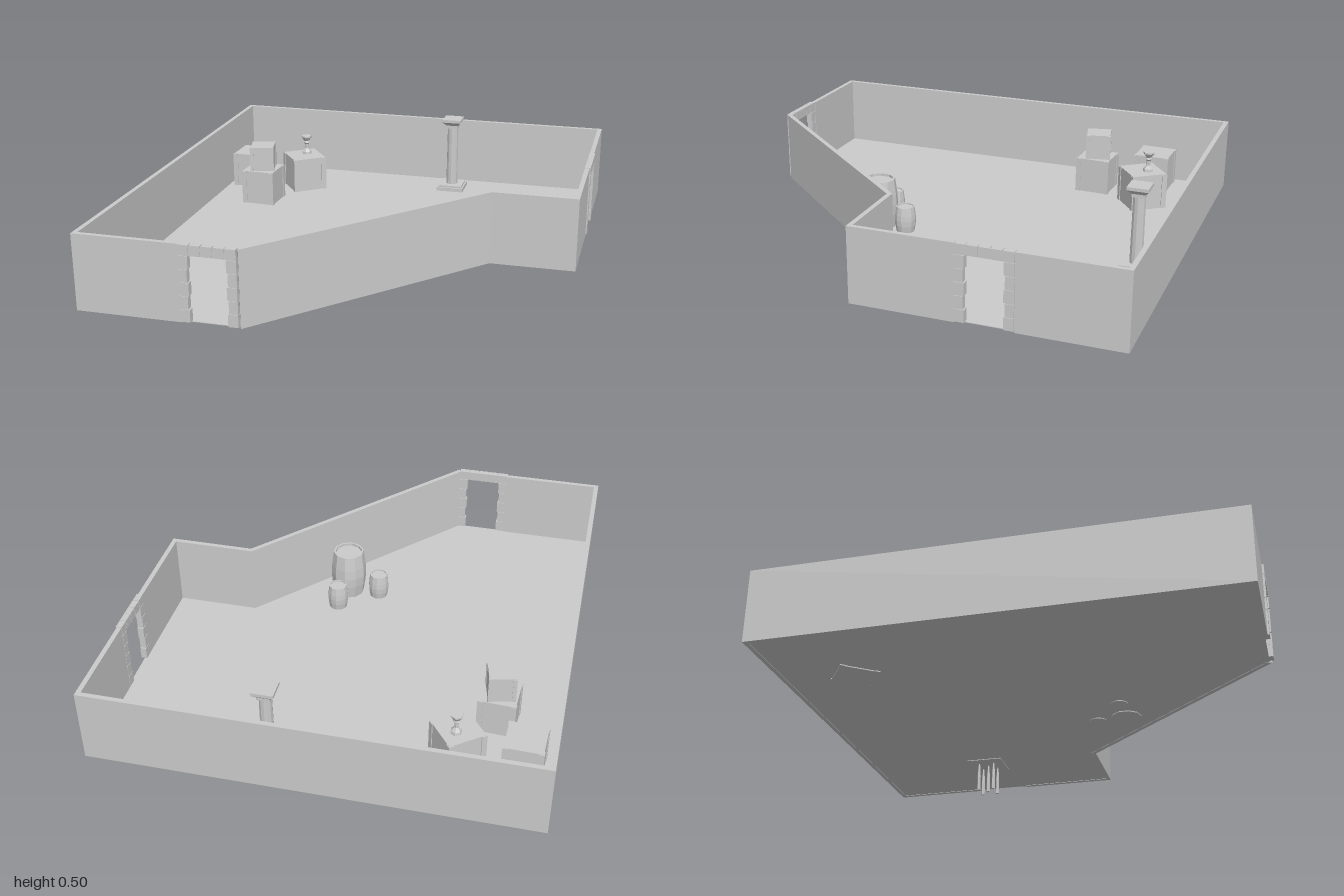
import * as THREE from 'three';

const FLOOR = 0.14, TOP = 0.455, THICK = 0.02;
const mat = new THREE.MeshStandardMaterial({ color: 0xcccccc, flatShading: true });

function add(parent, name, geo, x = 0, y = 0, z = 0, ry = 0) {
  const m = new THREE.Mesh(geo, mat);
  m.name = name;
  m.position.set(x, y, z);
  m.rotation.y = ry;
  parent.add(m);
  return m;
}

// Vertical prism over a plan outline given as [x, z] pairs
function prism(points, y0, y1) {
  const shape = new THREE.Shape(points.map(([x, z]) => new THREE.Vector2(x, -z)));
  const geo = new THREE.ExtrudeGeometry(shape, { depth: y1 - y0, bevelEnabled: false });
  return geo.rotateX(-Math.PI / 2).translate(0, y0, 0);
}

// Plan outline moved inwards by d, with mitred corners
function inset(pts, d) {
  const n = pts.length;
  const normal = (a, b) => {
    const dx = b[0] - a[0], dz = b[1] - a[1], l = Math.hypot(dx, dz);
    return [-dz / l, dx / l];
  };
  return pts.map((p, i) => {
    const n1 = normal(pts[(i + n - 1) % n], p), n2 = normal(p, pts[(i + 1) % n]);
    const k = d / (1 + n1[0] * n2[0] + n1[1] * n2[1]);
    return [p[0] + (n1[0] + n2[0]) * k, p[1] + (n1[1] + n2[1]) * k];
  });
}

const lathe = (profile, sides) =>
  new THREE.LatheGeometry(profile.map(([r, y]) => new THREE.Vector2(r, y)), sides);

// Stone frame around an opening, centred on its own x
function doorway() {
  const g = new THREE.Group();
  g.name = 'doorway';
  const w = 0.235, h = TOP - FLOOR, lintel = 0.042, rows = 5;
  const rowH = (h - lintel) / rows;
  for (const s of [-1, 1]) {
    for (let i = 0; i < rows; i++) {
      const bw = i % 2 ? 0.036 : 0.041;
      add(g, 'jambStone', new THREE.BoxGeometry(bw, rowH - 0.003, 0.026), s * (w / 2 - bw / 2), rowH * (i + 0.5), 0);
    }
    add(g, 'jambCore', new THREE.BoxGeometry(0.034, h - 0.002, 0.02), s * (w / 2 - 0.018), h / 2, 0);
  }
  for (let i = 0; i < 5; i++) {
    const bw = w / 5;
    add(g, 'lintelStone', new THREE.BoxGeometry(bw - 0.003, lintel, 0.026), (i - 2) * bw, h - lintel / 2 + 0.001, 0);
  }
  add(g, 'lintelCore', new THREE.BoxGeometry(w - 0.004, lintel - 0.004, 0.02), 0, h - lintel / 2, 0);
  return g;
}

// Wooden crate with slightly raised corner posts
function crate(s, x, y, z, ry) {
  const g = new THREE.Group();
  g.name = 'crate';
  add(g, 'crateBody', new THREE.BoxGeometry(s * 0.95, s, s * 0.95), 0, s / 2, 0);
  for (const a of [-1, 1]) for (const b of [-1, 1])
    add(g, 'cratePost', new THREE.BoxGeometry(s * 0.14, s * 0.99, s * 0.14), a * s * 0.425, s * 0.495, b * s * 0.425);
  g.position.set(x, y, z);
  g.rotation.y = ry;
  return g;
}

// Bulging barrel with a raised rim around a sunken lid
function barrel(r, h, sides) {
  return lathe([[0, 0], [r * 0.84, 0], [r * 0.97, h * 0.3], [r, h * 0.5], [r * 0.97, h * 0.7],
    [r * 0.86, h], [r * 0.76, h], [r * 0.76, h * 0.95], [0, h * 0.95]], sides);
}

export function createModel() {
  const room = new THREE.Group();
  room.name = 'room';

  // Floor and walls
  const outer = [[-0.92, -1], [0.915, -1], [0.915, 0.1], [0.55, 0.1], [-0.243, 0.99], [-0.92, 0.99]];
  const inner = inset(outer, THICK);
  add(room, 'floor', prism(inset(outer, 0.01), 0.137, FLOOR));
  const doors = { 1: [-0.57, -0.335], 4: [-0.25, -0.482] };
  outer.forEach((a, i) => {
    const j = (i + 1) % outer.length, b = outer[j], ia = inner[i], ib = inner[j];
    const wall = pts => add(room, 'wall', prism(pts, 0.135, TOP));
    if (!doors[i]) return wall([a, b, ib, ia]);
    // Split the wall around its doorway
    const at = (p, v) => (i === 1 ? [p[0], v] : [v, p[1]]);
    const [d0, d1] = doors[i];
    if (i === 1) wall([a, at(a, d0), at(ia, d0), ia]);
    wall([at(a, d1), b, ib, at(ia, d1)]);
  });

  // Doorways in the front wall and the left wall
  const frontDoor = doorway();
  frontDoor.position.set(-0.366, FLOOR, 0.985);
  const sideDoor = doorway();
  sideDoor.position.set(0.907, FLOOR, -0.4525);
  sideDoor.rotation.y = Math.PI / 2;
  room.add(frontDoor, sideDoor);

  // Pillar
  const pillar = new THREE.Group();
  pillar.name = 'pillar';
  const slab = (w, y0, y1) => add(pillar, 'pillarSlab', new THREE.BoxGeometry(w, y1 - y0, w), 0, (y0 + y1) / 2, 0);
  slab(0.13, 0, 0.018);
  slab(0.115, 0.018, 0.027);
  add(pillar, 'shaft', new THREE.CylinderGeometry(0.026, 0.028, 0.305, 12), 0, 0.178, 0);
  const flare = new THREE.CylinderGeometry(0.09 / Math.SQRT2, 0.055 / Math.SQRT2, 0.018, 4).rotateY(Math.PI / 4);
  add(pillar, 'capital', flare, 0, 0.338, 0);
  slab(0.055, 0.315, 0.33);
  slab(0.09, 0.347, 0.361);
  pillar.position.set(0.2, FLOOR, -0.845);
  room.add(pillar);

  // Crates
  room.add(
    crate(0.165, -0.79, FLOOR, -0.687, -0.03),
    crate(0.17, -0.525, 0.133, -0.69, 0.65),
    crate(0.16, -0.655, FLOOR, -0.44, -0.05),
    crate(0.115, -0.655, 0.3, -0.443, 0.22));

  // Candlestick on a crate
  add(room, 'candlestick', lathe([[0, 0], [0.024, 0], [0.022, 0.012], [0.009, 0.028], [0.009, 0.05],
    [0.016, 0.058], [0.012, 0.066], [0.026, 0.085], [0.026, 0.092], [0, 0.092]], 6), -0.52, 0.303, -0.715);

  // Large barrel with two small ones
  add(room, 'largeBarrel', barrel(0.08, 0.225, 10), 0.155, 0.133, 0.32);
  for (const [x, z] of [[0.175, 0.19], [0.012, 0.315]])
    add(room, 'smallBarrel', barrel(0.046, 0.12, 12), x, 0.134, z);

  // Spike trap hidden under the floor
  const trap = new THREE.Group();
  trap.name = 'spikeTrap';
  add(trap, 'trapPlate', new THREE.BoxGeometry(0.165, 0.005, 0.165), 0, 0.1365, 0);
  for (const [i, k] of [[0, 0], [-1, -1], [-1, 1], [1, -1], [1, 1]]) {
    const tip = i ? 0.136 : 0.142;
    add(trap, 'spike', lathe([[0, 0], [0.008, 0], [0.008, 0.07], [0.004, 0.125], [0, tip]], 6), i * 0.036, 0, k * 0.036);
  }
  trap.position.set(0.58, 0, -0.44);
  room.add(trap);

  return room;
}
